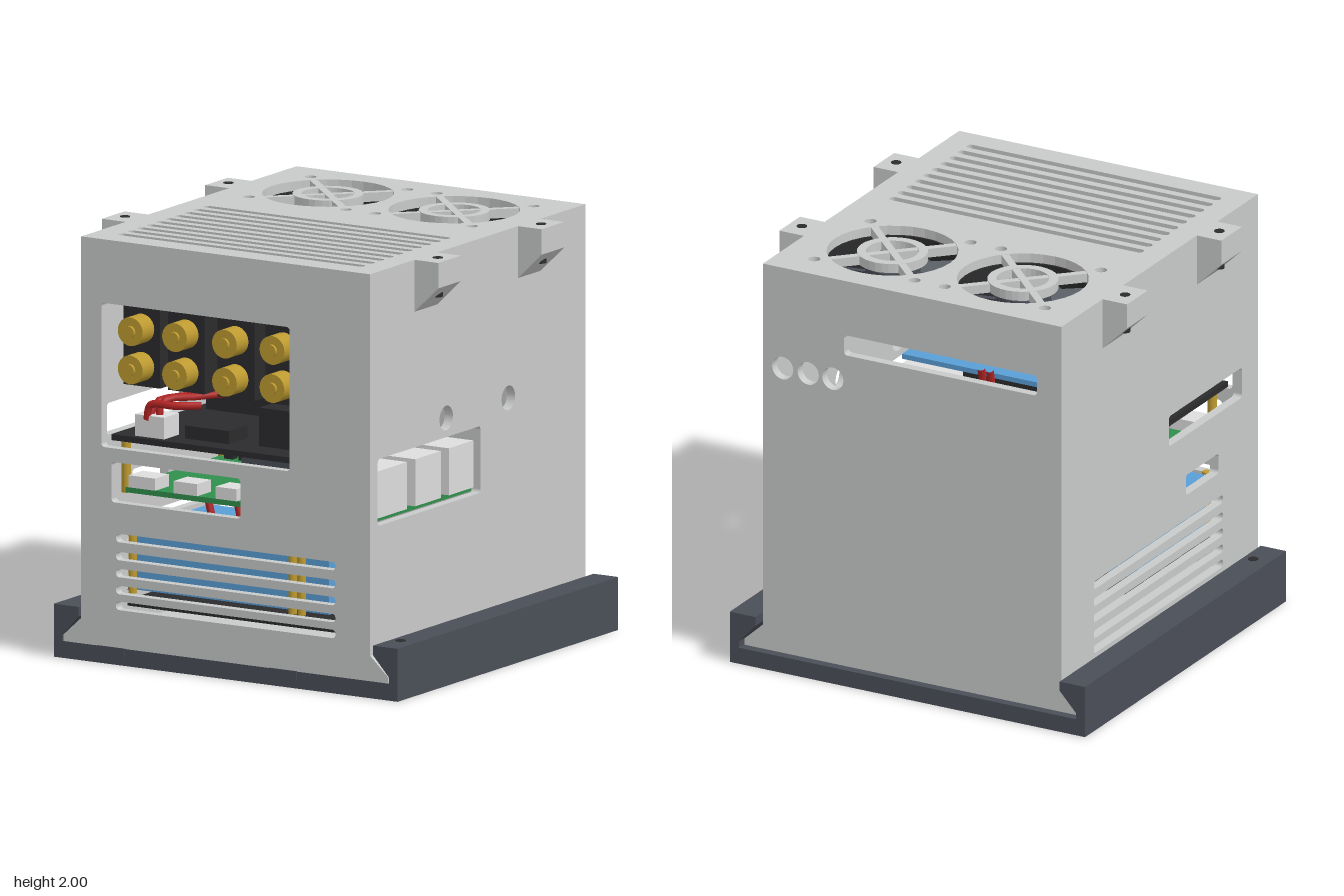
import * as THREE from 'three';

const mat = (name, color) => {
  const m = new THREE.MeshStandardMaterial({ color });
  m.name = name;
  return m;
};

export function createModel() {
  const root = new THREE.Group();
  root.name = 'electronicsEnclosure';
  const shell = mat('light grey shell', 0xc8cac9), slate = mat('slate grey', 0x4a4e57);
  const black = mat('black', 0x2b2b2d), gold = mat('gold', 0xbd9a30);
  const green = mat('green', 0x2f8f4c), blue = mat('blue', 0x5a9fd6);
  const red = mat('red', 0xb02222), white = mat('white', 0xdcdddc);
  const T = 0.045; // wall thickness

  const add = (name, geo, m, parent = root) => {
    const mesh = new THREE.Mesh(geo, m);
    mesh.name = name;
    parent.add(mesh);
    return mesh;
  };
  // box given by its limits
  const box = (name, m, x0, x1, y0, y1, z0, z1, parent) =>
    add(name, new THREE.BoxGeometry(x1 - x0, y1 - y0, z1 - z0)
      .translate((x0 + x1) / 2, (y0 + y1) / 2, (z0 + z1) / 2), m, parent);
  const cyl = (name, m, r, h, x, y, z, parent) =>
    add(name, new THREE.CylinderGeometry(r, r, h, 24).translate(x, y, z), m, parent);
  const rect = (x0, x1, y0, y1) => new THREE.Shape([[x0, y0], [x1, y0], [x1, y1], [x0, y1]]
    .map(p => new THREE.Vector2(...p)));
  const poly = pts => new THREE.Shape(pts.map(p => new THREE.Vector2(...p)));
  const rounded = (x0, x1, y0, y1, r = 0.018) => {
    const p = new THREE.Path();
    p.absarc(x1 - r, y1 - r, r, 0, Math.PI / 2);
    p.absarc(x0 + r, y1 - r, r, Math.PI / 2, Math.PI);
    p.absarc(x0 + r, y0 + r, r, Math.PI, Math.PI * 1.5);
    p.absarc(x1 - r, y0 + r, r, Math.PI * 1.5, Math.PI * 2);
    p.closePath();
    return p;
  };
  const round = (x, y, r) => new THREE.Path().absarc(x, y, r, 0, Math.PI * 2);
  const extrude = (shape, depth, holes = []) => {
    shape.holes.push(...holes);
    return new THREE.ExtrudeGeometry(shape, { depth, bevelEnabled: false, curveSegments: 16 });
  };

  // --- base tray: pierced floor and two undercut rails
  const floorHoles = [round(0, 0, 0.2)];
  for (const s of [-1, 1]) {
    for (const x of [-0.32, 0.32]) floorHoles.push(rounded(x - 0.235, x + 0.235, s * 0.365 - 0.025, s * 0.365 + 0.025));
    for (const x of [-0.245, 0.09]) floorHoles.push(round(x, s * 0.565, 0.03));
  }
  add('baseFloor', extrude(rect(-0.94, 0.94, -0.95, 0.95), 0.08, floorHoles)
    .rotateX(Math.PI / 2).translate(0, 0.08, 0), slate);
  for (const s of [-1, 1]) {
    const rail = [[0.94, 0.08], [0.94, 0.25], [0.805, 0.25], [0.805, 0.205], [0.892, 0.11], [0.892, 0.08]];
    add('baseRail', extrude(poly(rail.map(([x, y]) => [s * x, y])), 1.9).translate(0, 0, -0.95), slate);
    cyl('railScrew', black, 0.024, 0.006, s * 0.855, 0.25, 0.79);
  }
  for (const x of [-0.625, 0.315]) box('baseFrontLip', slate, x - 0.075, x + 0.075, 0.04, 0.082, 0.94, 0.954);

  // --- shell walls with cut-outs
  const slotRows = [0.28, 0.355, 0.435, 0.515, 0.6];
  add('frontWall', extrude(rect(-0.79, 0.79, 0.08, 2), T, [
    rounded(-0.68, 0.35, 1.02, 1.7), rounded(-0.625, 0.08, 0.765, 0.955),
    ...slotRows.map(y => rounded(-0.6, 0.6, y - 0.02, y + 0.02)),
  ]).translate(0, 0, 0.95 - T), shell);
  add('backWall', extrude(rect(-0.79, 0.79, 0.08, 2), T, [
    rounded(-0.66, 0.36, 1.63, 1.73), ...[0.42, 0.55, 0.685].map(x => round(x, 1.5, 0.056)),
  ]).translate(0, 0, -0.905), shell);
  const sideWall = (name, x, holes) => add(name, extrude(rect(-0.905 + T, 0.95 - T, 0.08, 2), T, holes)
    .rotateY(-Math.PI / 2).translate(x, 0, 0), shell);
  sideWall('leftWall', 0.79, [rounded(0, 0.885, 0.8, 1.115), round(0.295, 1.205, 0.058), round(-0.24, 1.205, 0.058)]);
  sideWall('rightWall', -0.79 + T, [
    rounded(0.11, 0.8, 1.04, 1.19), rounded(0.27, 0.58, 0.74, 0.84),
    ...slotRows.map(y => rounded(-0.6, 0.62, y - 0.02, y + 0.02)),
  ]);
  box('shellFloor', shell, -0.78, 0.78, 0.081, 0.12, -0.9, 0.94);

  // --- roof with vent slots and fan openings
  const fanX = [-0.345, 0.345], fanZ = -0.475;
  const roofHoles = [];
  for (let i = 0; i < 10; i++) {
    const z = 0.08 + i * 0.0812;
    roofHoles.push(rounded(-0.67, 0.67, z - 0.02, z + 0.02));
  }
  for (const x of fanX) {
    roofHoles.push(round(x, fanZ, 0.305));
    for (const a of [-1, 1]) for (const b of [-1, 1]) roofHoles.push(round(x + a * 0.265, fanZ + b * 0.265, 0.028));
  }
  add('roof', extrude(rect(-0.79 + T, 0.79 - T, -0.905 + T, 0.95 - T), T, roofHoles)
    .rotateX(Math.PI / 2).translate(0, 2, 0), shell);

  // --- dovetail feet and upper mounting lugs
  for (const s of [-1, 1]) {
    const foot = [[0.78, 0.08], [0.888, 0.08], [0.888, 0.11], [0.79, 0.2], [0.78, 0.2]];
    add('dovetailFoot', extrude(poly(foot.map(([x, y]) => [s * x, y])), 1.855).translate(0, 0, -0.905), shell);
    for (const z of [-0.42, 0.47]) {
      const lug = [[0.78, 1.75], [0.79, 1.755], [0.92, 1.88], [0.92, 2], [0.78, 2]];
      add('mountingLug', extrude(poly(lug.map(([x, y]) => [s * x, y])), 0.195).translate(0, 0, z - 0.0975), shell);
      cyl('lugScrew', black, 0.024, 0.185, s * 0.855, 1.91, z);
    }
  }

  // --- fans under their grilles
  for (const x of fanX) {
    const fan = new THREE.Group();
    fan.name = 'fan';
    fan.position.set(x, 0, fanZ);
    root.add(fan);
    add('fanFrame', extrude(rect(-0.305, 0.305, -0.305, 0.305), 0.17, [round(0, 0, 0.296)])
      .rotateX(Math.PI / 2).translate(0, 1.954, 0), black, fan);
    cyl('fanHub', slate, 0.13, 0.13, 0, 1.87, 0, fan);
    for (let i = 0; i < 7; i++) {
      add('fanBlade', new THREE.BoxGeometry(0.18, 0.012, 0.14).rotateX(0.6).translate(0.2, 1.87, 0)
        .rotateY(i * Math.PI * 2 / 7 + 0.2), slate, fan);
    }
    const ring = new THREE.Shape().absarc(0, 0, 0.165, 0, Math.PI * 2);
    add('grilleRing', extrude(ring, T, [round(0, 0, 0.122)]).rotateX(Math.PI / 2).translate(0, 2, 0), shell, fan);
    for (const a of [-1, 1]) {
      add('grilleBar', new THREE.BoxGeometry(0.62, T - 0.002, 0.036).rotateY(a * Math.PI / 4)
        .translate(0, 2 - T / 2 - 0.001 * (a + 1), 0), shell, fan);
    }
  }

  // --- amplifier stack: boards, terminals, twin jacks
  for (const y of [1.42, 1.62]) box('amplifierBoard', blue, -0.67, 0.37, y - 0.012, y + 0.012, -0.34, 0.43);
  for (let i = 0; i < 10; i++) {
    const x = -0.68 + i * 0.105;
    box('terminalBlock', green, x, x + 0.1, 1.632, 1.7, 0.03, 0.27);
  }
  box('terminalStrip', green, -0.675, 0.36, 1.632, 1.68, 0.04, 0.26);
  box('upperHeatsink', black, -0.62, 0.3, 1.3, 1.6, 0, 0.22);
  box('lowerHeatsink', black, -0.57, 0.25, 1.08, 1.3, 0.02, 0.22);
  for (const x of [-0.56, -0.318, -0.045, 0.215]) {
    box('jackBody', black, x - 0.1, x + 0.1, 1.29, 1.66, 0.29, 0.79);
    for (const y of [1.385, 1.565]) {
      const jack = cyl('jackBarrel', gold, 0.068, 0.1, 0, 0, 0);
      jack.rotation.x = Math.PI / 2;
      jack.position.set(x, y, 0.84);
      const tip = cyl('jackTip', gold, 0.028, 0.02, 0, 0, 0);
      tip.rotation.x = Math.PI / 2;
      tip.position.set(x, y, 0.895);
    }
  }

  // --- computer board with port blocks and a black daughter board
  box('computerBoard', green, -0.6, 0.74, 0.803, 0.828, 0.005, 0.88);
  for (const [a, b] of [[0.03, 0.24], [0.31, 0.53], [0.6, 0.86]]) box('portBlock', white, 0.45, 0.77, 0.828, 1.05, a, b);
  for (const z of [0.275, 0.565]) box('portDivider', slate, 0.46, 0.7, 0.828, 0.97, z - 0.034, z + 0.034);
  [[-0.575, -0.43], [-0.33, -0.2], [-0.1, 0.015]].forEach(([a, b]) => box('frontSocket', white, a, b, 0.828, 0.885, 0.76, 0.88));
  box('processorHeatsink', slate, -0.2, 0.2, 0.828, 0.95, 0.25, 0.5);
  for (let i = 0; i < 5; i++) box('pinHeader', black, -0.55 + i * 0.08, -0.5 + i * 0.08, 0.828, 1.03, 0.06, 0.1);
  box('daughterBoard', black, -0.67, 0.37, 1.04, 1.068, 0.005, 0.88);
  box('powerCapacitor', black, 0.05, 0.215, 1.068, 1.25, 0.58, 0.74);
  box('chip', black, -0.33, -0.09, 1.068, 1.13, 0.62, 0.78);
  box('wireSocket', white, -0.56, -0.4, 1.068, 1.17, 0.72, 0.85);
  box('sideSocket', white, 0.25, 0.35, 1.068, 1.17, 0.45, 0.55);
  for (const x of [-0.6, 0.33]) for (const z of [0.03, 0.86]) {
    cyl('standoff', gold, 0.022, 0.24, x, 0.92, z);
  }

  // --- power module behind the lower slots
  box('powerModule', blue, -0.6, 0.47, 0.33, 0.615, 0.15, 0.8);
  box('powerModuleBase', black, -0.6, 0.57, 0.262, 0.29, 0.1, 0.85);
  for (const x of [-0.585, 0.29, 0.34]) cyl('moduleStandoff', gold, 0.02, 0.3, x, 0.47, 0.83);

  // --- red wiring
  const wire = (...pts) => add('wire', new THREE.TubeGeometry(
    new THREE.CatmullRomCurve3(pts.map(p => new THREE.Vector3(...p))), 40, 0.018, 8), red);
  for (let i = 0; i < 2; i++) {
    const d = i * 0.045;
    wire([-0.5 + d, 1.1, 0.8], [-0.5 + d, 1.21 + d / 3, 0.78], [-0.42 + d, 1.23, 0.6], [-0.3 + d, 1.22, 0.3],
      [-0.3 + d, 1.22, -0.24], [-0.34 + d, 1.4, -0.7], [-0.34 + d, 1.65, -0.78]);
    wire([-0.33 + i * 0.16, 0.8, 0.6], [-0.31 + i * 0.16, 0.72, 0.6], [-0.28 + i * 0.16, 0.6, 0.6]);
  }
  wire([-0.5, 1.15, 0.84], [-0.48, 1.22, 0.84], [-0.36, 1.225, 0.82], [-0.26, 1.225, 0.75]);
  return root;
}
